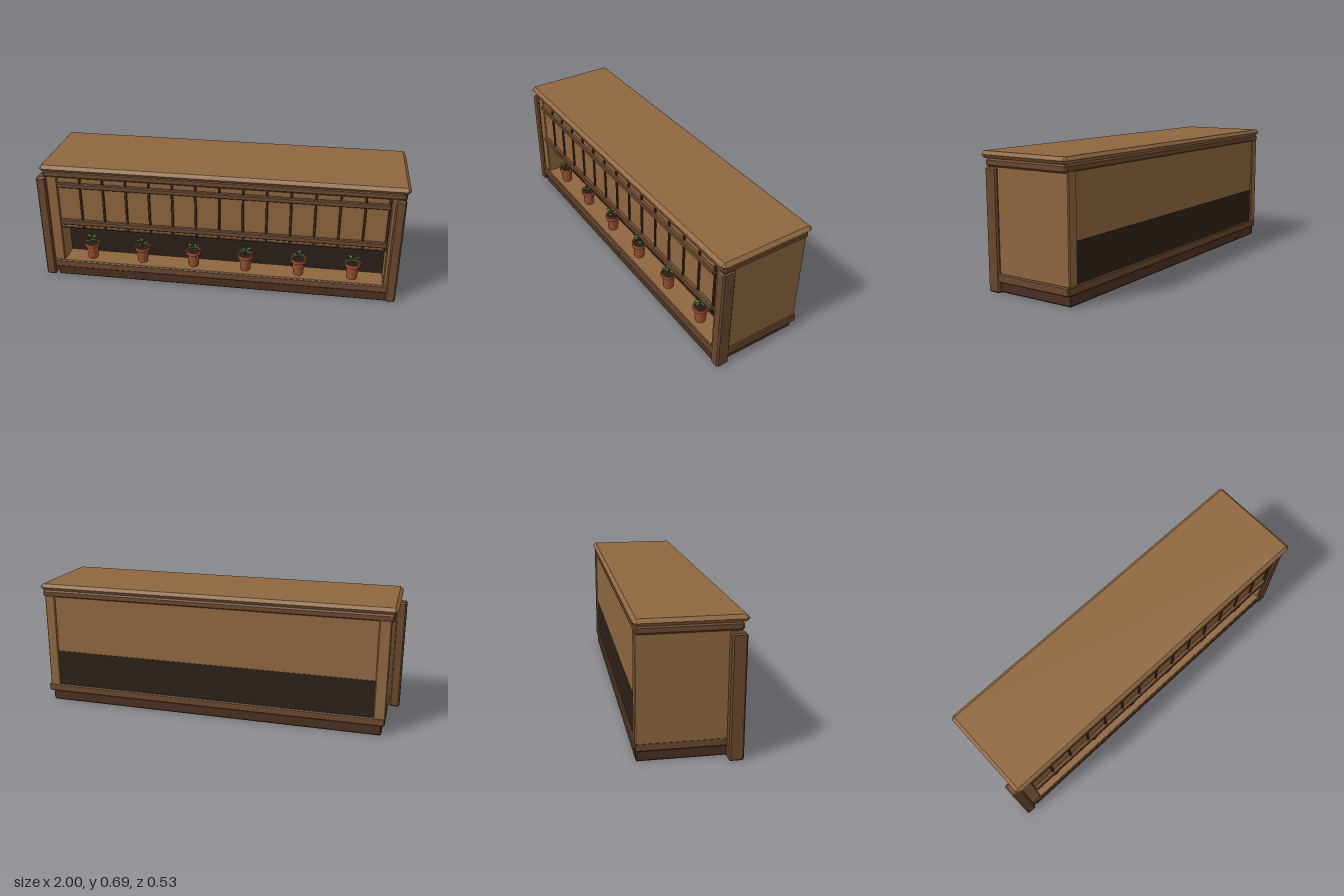
import * as THREE from 'three';
import { ConvexGeometry } from 'three/addons/geometries/ConvexGeometry.js';

const mat = (color, extra = {}) => {
  const m = new THREE.MeshStandardMaterial(extra);
  m.color.set(color);
  return m;
};
const wood = mat(0x8f673f);
const trim = mat(0x6b482d);
const plinthWood = mat(0x4a3020);
const dark = mat(0x2c2019);
const clay = mat(0x9c5233);
const soilMat = mat(0x2b1b12);
const leafMat = mat(0x3f7a3a, { flatShading: true, side: THREE.DoubleSide });

// Box with every edge chamfered by c, given by its min and max bounds
function slab(name, x, y, z, c, material) {
  const size = [x[1] - x[0], y[1] - y[0], z[1] - z[0]];
  const pts = [];
  for (const i of [-1, 1]) for (const j of [-1, 1]) for (const k of [-1, 1]) {
    for (let axis = 0; axis < 3; axis++) {
      const p = [i, j, k].map((s, a) => s * (size[a] / 2 - (a === axis ? 0 : c)));
      pts.push(new THREE.Vector3(...p));
    }
  }
  const mesh = new THREE.Mesh(new ConvexGeometry(pts), material);
  mesh.position.set((x[0] + x[1]) / 2, (y[0] + y[1]) / 2, (z[0] + z[1]) / 2);
  mesh.name = name;
  return mesh;
}

// Tapered clay pot with rim, soil, stem and a whorl of leaves
function pottedPlant(turn) {
  const plant = new THREE.Group();
  plant.name = 'pottedPlant';
  const profile = [[0, 0], [0.027, 0], [0.035, 0.075], [0.042, 0.075], [0.043, 0.096],
    [0.036, 0.096], [0.034, 0.085]].map(([r, h]) => new THREE.Vector2(r, h));
  const potMaterial = clay.clone();
  potMaterial.flatShading = true;
  potMaterial.side = THREE.DoubleSide;
  const pot = new THREE.Mesh(new THREE.LatheGeometry(profile, 14), potMaterial);
  pot.name = 'pot';
  const soil = new THREE.Mesh(new THREE.CylinderGeometry(0.035, 0.035, 0.008, 14), soilMat);
  soil.position.y = 0.084;
  soil.name = 'soil';
  const stem = new THREE.Mesh(new THREE.CylinderGeometry(0.003, 0.004, 0.045, 6), leafMat);
  stem.position.y = 0.106;
  stem.name = 'stem';
  plant.add(pot, soil, stem);
  for (let i = 0; i < 5; i++) {
    const arm = new THREE.Group();
    arm.rotation.y = turn + i * Math.PI * 0.4;
    const leaf = new THREE.Mesh(new THREE.SphereGeometry(1, 8, 5), leafMat);
    leaf.scale.set(0.016, 0.004, 0.01);
    leaf.position.set(0.023, 0.111 + (i % 3) * 0.009, 0);
    leaf.rotation.z = 0.2;
    leaf.name = 'leaf';
    arm.add(leaf);
    plant.add(arm);
  }
  return plant;
}

export function createModel() {
  const model = new THREE.Group();
  model.name = 'counter';
  const add = (...args) => model.add(slab(...args));

  // Countertop and the moulding below it
  add('countertop', [-0.975, 0.995], [0.655, 0.69], [-0.263, 0.265], 0.0172, wood);
  add('topMoulding', [-0.96, 0.98], [0.615, 0.655], [-0.252, 0.242], 0.009, trim);

  // Plinth, base moulding and display shelf
  add('plinth', [-0.93, 0.955], [0, 0.065], [-0.248, 0.238], 0.006, plinthWood);
  add('baseMoulding', [-0.945, 0.978], [0.055, 0.098], [-0.255, 0.245], 0.005, trim);
  add('shelf', [-0.886, 0.906], [0.09, 0.1], [0.1, 0.238], 0.001, wood);

  // Side panels and front posts
  add('rightSidePanel', [-0.947, -0.885], [0.09, 0.625], [-0.254, 0.235], 0.005, wood);
  add('leftSidePanel', [0.907, 0.967], [0.09, 0.625], [-0.254, 0.235], 0.005, wood);
  add('rightPost', [-1, -0.945], [0, 0.613], [0.175, 0.247], 0.008, trim);
  add('leftPost', [0.925, 0.98], [0, 0.613], [0.175, 0.247], 0.008, trim);

  // Back: wooden upper panel over a dark lower panel
  add('backUpperPanel', [-0.89, 0.91], [0.3, 0.62], [-0.247, -0.225], 0.001, wood);
  add('backLowerPanel', [-0.89, 0.91], [0.09, 0.3], [-0.245, -0.225], 0.001, dark);

  // Dark recess behind the shelf
  add('recessPanel', [-0.89, 0.91], [0.09, 0.62], [0.09, 0.112], 0.001, dark);

  // Front boards with battens over the joints
  const left = -0.885, step = 1.79 / 14;
  for (let i = 0; i < 14; i++) {
    const x = left + i * step;
    add('board', [x + 0.001, x + step - 0.001], [0.31, 0.618], [0.212, 0.23], 0.002, wood);
    const edge = x + step - (i === 13 ? 0.006 : 0);
    add('batten', [edge - 0.006, edge + 0.006], [0.312, 0.615], [0.222, 0.238], 0.002, plinthWood);
  }
  add('upperRail', [-0.885, 0.905], [0.56, 0.587], [0.225, 0.25], 0.004, trim);
  add('lowerRail', [-0.885, 0.905], [0.334, 0.363], [0.225, 0.25], 0.004, trim);
  add('boardFoot', [-0.885, 0.905], [0.306, 0.314], [0.208, 0.232], 0.002, plinthWood);

  // Row of potted plants
  for (let i = 0; i < 6; i++) {
    const plant = pottedPlant(i * 0.7);
    plant.position.set(-0.735 + i * 0.295, 0.1, 0.18);
    model.add(plant);
  }
  return model;
}
